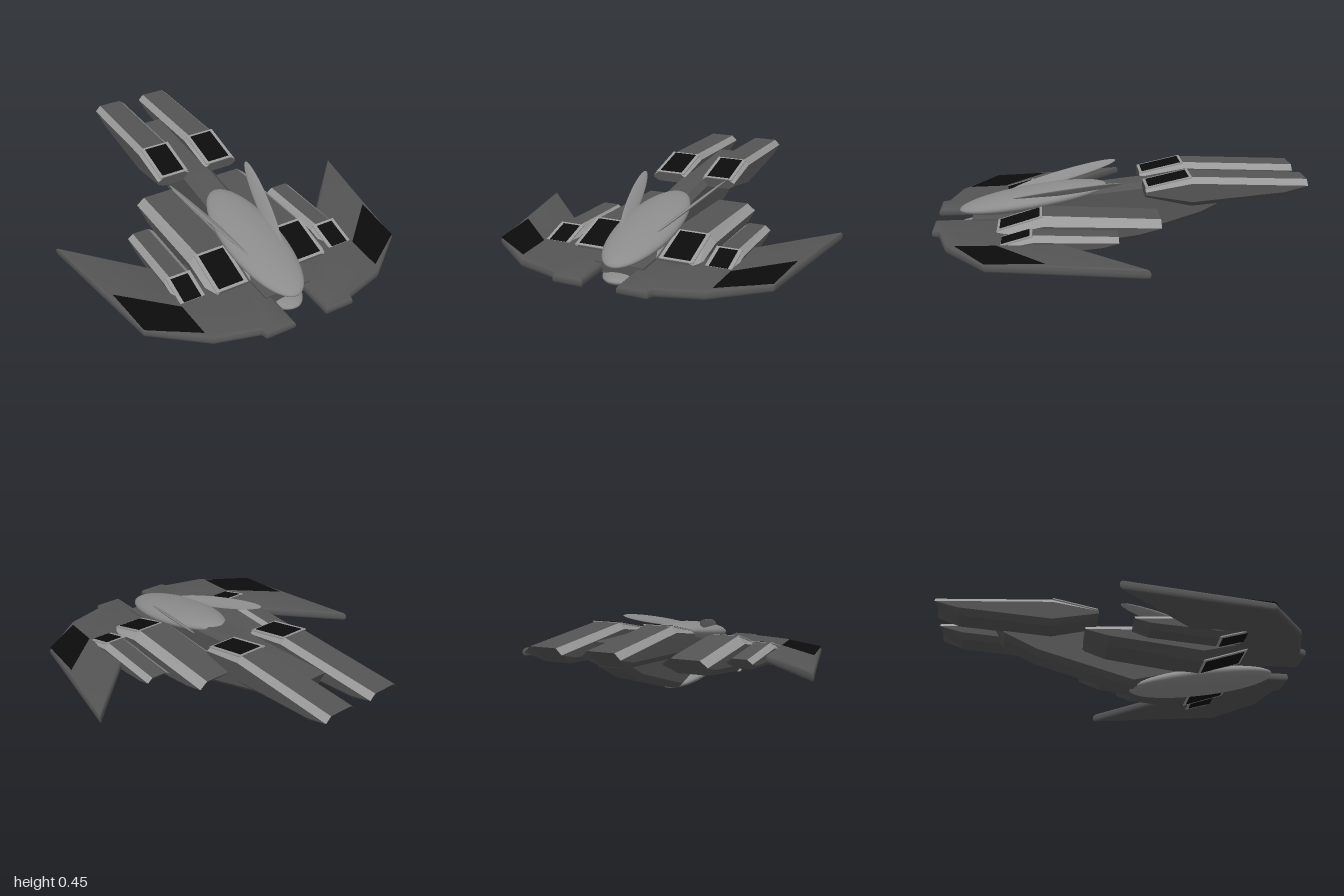
import * as THREE from 'three';
import { toCreasedNormals } from 'three/addons/utils/BufferGeometryUtils.js';

const mat = (color, flatShading = false) => new THREE.MeshStandardMaterial({ color, flatShading });

export function createModel() {
  const model = new THREE.Group();
  const hull = mat(0x555555, true);
  const trim = mat(0x999999, true);
  const dark = mat(0x0c0c0c, true);
  const shell = mat(0x8c8c8c);
  const smoothHull = mat(0x555555);

  const add = (name, geometry, material, parent = model) => {
    const mesh = new THREE.Mesh(geometry, material);
    mesh.name = name;
    parent.add(mesh);
    return mesh;
  };

  // Side profile [z, y] (top edge front to back, then bottom edge back to front)
  // carried across x, with chamfered long edges. Group 1 is the upper chamfer.
  function chamferedBody(profile, x0, x1, c) {
    const n = profile.length;
    const ring = (x, inset) => profile.flatMap(([z, y], i) => {
      const d = profile[n - 1 - i][1] - y;
      return [x, y + Math.sign(d) * Math.min(inset, 0.35 * Math.abs(d)), z];
    });
    const positions = [...ring(x0, c), ...ring(x0 + c, 0), ...ring(x1 - c, 0), ...ring(x1, c)];
    const body = [], edges = [];
    for (let r = 0; r < 3; r++) {
      for (let i = 0; i < n; i++) {
        const j = (i + 1) % n, a = r * n, b = a + n;
        const list = r !== 1 && i < n / 2 - 1 ? edges : body;
        list.push(a + i, b + i, a + j, b + i, b + j, a + j);
      }
    }
    for (let i = 1; i < n - 1; i++) {
      body.push(0, i, i + 1, 3 * n, 3 * n + i + 1, 3 * n + i);
    }
    const geo = new THREE.BufferGeometry();
    geo.setAttribute('position', new THREE.Float32BufferAttribute(positions, 3));
    geo.setIndex([...body, ...edges]);
    geo.addGroup(0, body.length, 0);
    geo.addGroup(body.length, edges.length, 1);
    geo.computeVertexNormals();
    return geo;
  }

  // Framed dark opening lying on the slope between two profile points
  function intake(parent, name, [z0, y0], [z1, y1], xc, width) {
    const length = Math.hypot(z0 - z1, y0 - y1);
    const g = new THREE.Group();
    g.name = name;
    g.position.set(xc, (y0 + y1) / 2, (z0 + z1) / 2);
    g.rotation.x = Math.atan2(y1 - y0, z0 - z1);
    add('intakeFrame', new THREE.BoxGeometry(width + 0.04, 0.006, length - 0.005), trim, g);
    add('intakeOpening', new THREE.BoxGeometry(width, 0.012, length - 0.035), dark, g);
    parent.add(g);
  }

  const nacelles = [
    { name: 'upperNacelle', x: [0.05, 0.245], c: 0.03, intakeX: 0.145, intakeW: 0.13, below: false,
      profile: [[-0.125, 0.39], [-0.375, 0.445], [-1, 0.417], [-0.875, 0.325], [-0.375, 0.283], [-0.125, 0.34]] },
    { name: 'innerNacelle', x: [0.085, 0.348], c: 0.045, intakeX: 0.232, intakeW: 0.14, below: true,
      profile: [[0.66, 0.21], [0.42, 0.28], [-0.2, 0.243], [-0.08, 0.14], [0.42, 0.068], [0.66, 0.145]] },
    { name: 'outerNacelle', x: [0.365, 0.515], c: 0.03, intakeX: 0.44, intakeW: 0.095, below: true,
      profile: [[0.645, 0.195], [0.47, 0.243], [0.04, 0.22], [0.12, 0.15], [0.47, 0.117], [0.645, 0.165]] },
  ];

  // Wing outline and dark wing panel as [x, z]
  const wingOutline = [[0.088, 1], [0.245, 1], [0.26, 0.965], [0.48, 0.905], [0.74, 0.7],
    [0.878, -0.075], [0.52, 0.3], [0.36, 0.36], [0.088, 0.45]];
  const panelOutline = [[0.51, 0.65], [0.765, 0.41], [0.735, 0.7], [0.5, 0.855]];
  const plan = (points, s) => new THREE.Shape(points.map(([x, z]) => new THREE.Vector2(s * x, -z)));

  for (const s of [1, -1]) {
    const side = s > 0 ? 'left' : 'right';

    // Engine nacelles
    for (const { name, x, c, intakeX, intakeW, below, profile: p } of nacelles) {
      const group = new THREE.Group();
      group.name = `${side} ${name}`;
      const [a, b] = s > 0 ? x : [-x[1], -x[0]];
      add('nacelleBody', chamferedBody(p, a, b, c), [hull, trim], group);
      intake(group, 'topIntake', p[0], p[1], s * intakeX, intakeW);
      if (below) intake(group, 'bottomIntake', p[5], p[4], s * intakeX, intakeW);
      model.add(group);
    }

    // Flat swept wing with rounded rim
    const wing = new THREE.ExtrudeGeometry(plan(wingOutline, s), {
      depth: 0.01, bevelThickness: 0.02, bevelSize: 0.02, bevelOffset: -0.02, bevelSegments: 4,
    });
    wing.rotateX(-Math.PI / 2).translate(0, 0.172, 0);
    add(`${side} wing`, toCreasedNormals(wing, 0.6), smoothHull);

    const panel = new THREE.ExtrudeGeometry(plan(panelOutline, s), { depth: 0.004, bevelEnabled: false });
    panel.rotateX(-Math.PI / 2).translate(0, 0.2, 0);
    add(`${side} wingPanel`, panel, dark);

    // Thin lens-shaped fin leaning outward beside the canopy
    const front = new THREE.Vector3(s * 0.085, 0.3, 0.6);
    const back = new THREE.Vector3(s * 0.237, 0.425, -0.005);
    const zAxis = front.clone().sub(back).normalize();
    const yAxis = zAxis.clone().cross(new THREE.Vector3(s * 0.155, 0.12, 0)).normalize();
    const xAxis = yAxis.clone().cross(zAxis);
    const fin = new THREE.SphereGeometry(1, 24, 16).rotateX(Math.PI / 2);
    fin.scale(0.037, 0.008, front.distanceTo(back) / 2);
    fin.applyMatrix4(new THREE.Matrix4().makeBasis(xAxis, yAxis, zAxis));
    fin.translate(...front.add(back).multiplyScalar(0.5).toArray());
    add(`${side} fin`, fin, shell);
  }

  // Central fuselage with tapering tail
  const fuselage = [[0.62, 0.21], [0.45, 0.32], [-0.1, 0.375], [-0.7, 0.4],
    [-0.63, 0.265], [-0.45, 0.175], [0.08, 0.015], [0.62, 0.15]];
  add('fuselage', chamferedBody(fuselage, -0.09, 0.09, 0.03), [hull, hull]);

  // Block joining the wing roots
  add('wingRoot', new THREE.BoxGeometry(0.26, 0.055, 0.4).translate(0, 0.183, 0.6), hull);

  // Canopy above and matching pod below, noses tilted toward each other
  for (const [name, y, tilt] of [['canopy', 0.289, 0.155], ['lowerPod', 0.085, -0.155]]) {
    const pod = new THREE.SphereGeometry(1, 40, 24).rotateX(Math.PI / 2).scale(0.158, 0.055, 0.41);
    pod.rotateX(tilt).translate(0, y, 0.47);
    add(name, pod, shell);
  }

  return model;
}
